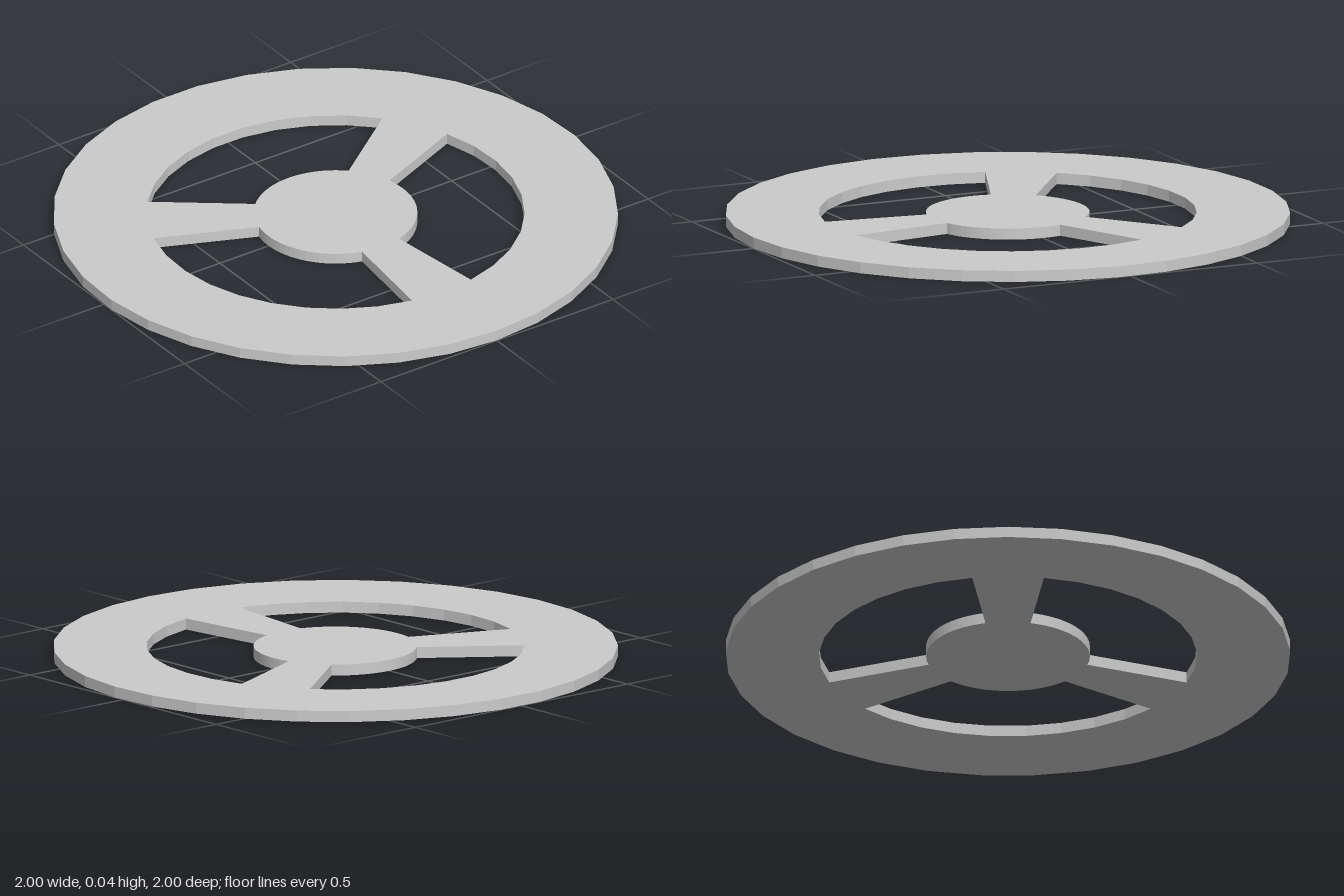
import * as THREE from 'three';

const SIDES = 33;
const SPOKES = 3;
const STEP = (Math.PI * 2) / SIDES;
const THICKNESS = 0.04;

// Point on the plan at an angle measured from the front (+z)
const polar = (r, a) => new THREE.Vector2(r * Math.sin(a), -r * Math.cos(a));

// Points along an arc, both ends included
function arc(r, from, to, segments) {
  return Array.from({ length: segments + 1 }, (_, i) =>
    polar(r, from + ((to - from) * i) / segments));
}

export function createModel() {
  const group = new THREE.Group();
  group.name = 'spokedWheel';

  const rimRadius = 1.001, openingRadius = 0.67, hubRadius = 0.29;
  const hubHalfAngle = THREE.MathUtils.degToRad(16);
  const sector = (Math.PI * 2) / SPOKES;

  // Faceted outer rim
  const plate = new THREE.Shape(arc(rimRadius, 0, Math.PI * 2, SIDES).slice(0, SIDES));

  // Openings between the flared spokes; the rest forms the hub
  for (let i = 0; i < SPOKES; i++) {
    const start = i * sector, end = start + sector;
    const outer = arc(openingRadius, start + STEP, end - STEP, SIDES / SPOKES - 2);
    const inner = arc(hubRadius, end - hubHalfAngle, start + hubHalfAngle, 20);
    plate.holes.push(new THREE.Path([...outer, ...inner]));
  }

  // Lay the plate flat on the ground and centre its odd-sided outline
  const geometry = new THREE.ExtrudeGeometry(plate, { depth: THICKNESS, bevelEnabled: false });
  geometry.rotateX(-Math.PI / 2);
  geometry.translate(0, 0, -0.002);

  const wheel = new THREE.Mesh(
    geometry,
    new THREE.MeshStandardMaterial({ color: 0xcccccc, flatShading: true })
  );
  wheel.name = 'wheelPlate';
  group.add(wheel);
  return group;
}
